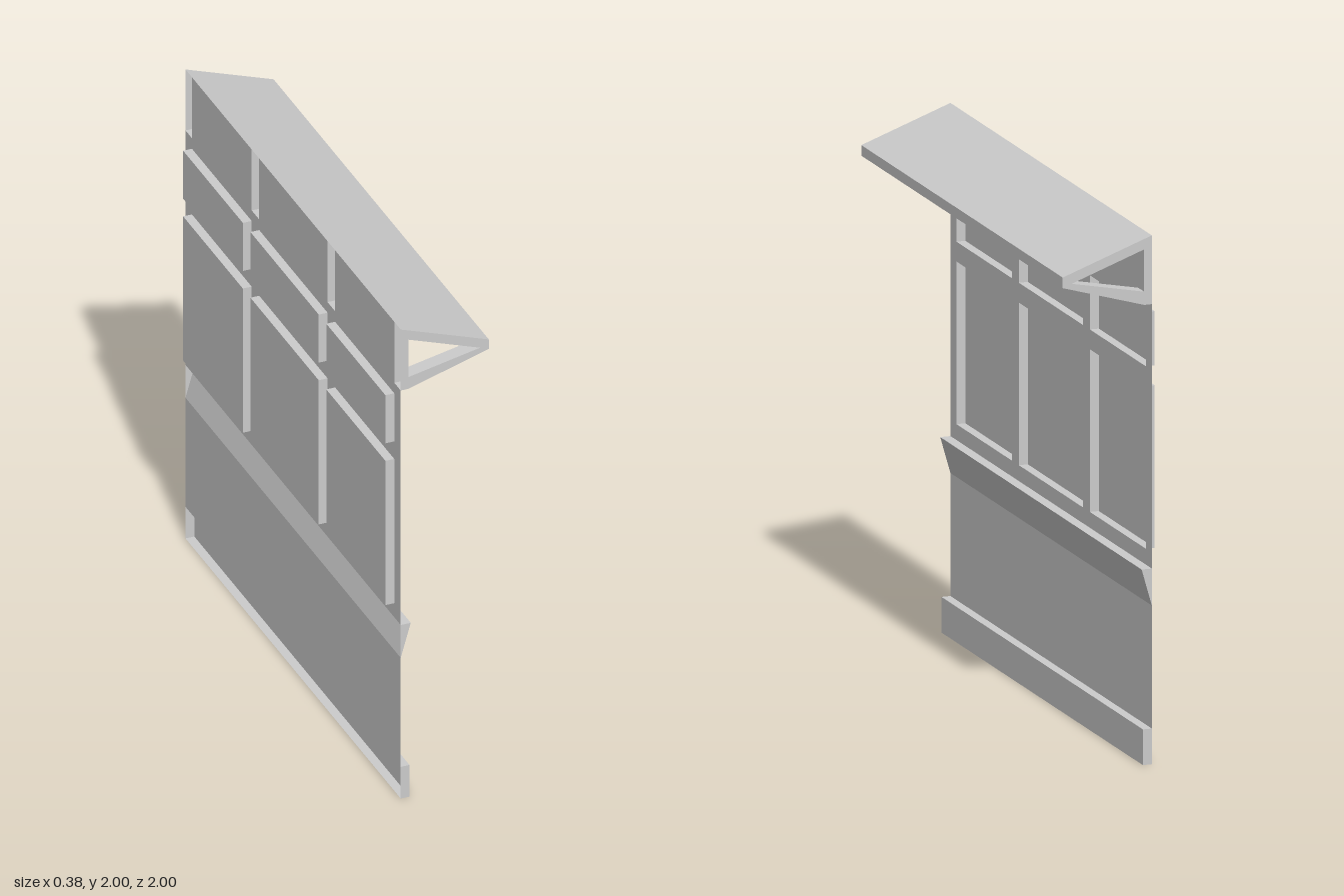
import * as THREE from 'three';
import { mergeGeometries } from 'three/addons/utils/BufferGeometryUtils.js';

const material = new THREE.MeshStandardMaterial({
  color: 0xcccccc, flatShading: true, side: THREE.DoubleSide,
});

const WALL = -0.16;    // x of the facade sheet
const PANE = -0.195;   // x of the recessed panes
const SILL = 0.74, TOP = 2;
const bays = [[-0.94, -0.385], [-0.315, 0.32], [0.39, 0.94]];               // z spans
const ribs = [[-1, -0.94], [-0.385, -0.315], [0.32, 0.39], [0.94, 1]];
const rows = [[0.8, 1.415], [1.49, 1.695]];                                 // y spans

const vectors = (points) => points.map(([x, y]) => new THREE.Vector2(x, y));

// Sweeps an XY path from z0 to z1; the outside lies to the right of the path.
function ribbon(points, z0, z1) {
  const pos = [];
  for (let i = 0; i + 1 < points.length; i++) {
    const [ax, ay] = points[i], [bx, by] = points[i + 1];
    pos.push(ax, ay, z0, bx, by, z0, bx, by, z1);
    pos.push(ax, ay, z0, bx, by, z1, ax, ay, z1);
  }
  const geometry = new THREE.BufferGeometry();
  geometry.setAttribute('position', new THREE.Float32BufferAttribute(pos, 3));
  geometry.computeVertexNormals();
  return geometry;
}

// Flat face at height z, facing +z or -z.
function face(points, z, holes = [], flip = false) {
  const shape = new THREE.Shape(vectors(points));
  shape.holes = holes.map((h) => new THREE.Path(vectors(h)));
  const geometry = new THREE.ShapeGeometry(shape).toNonIndexed();
  geometry.deleteAttribute('uv');
  if (flip) {
    const p = geometry.attributes.position;
    for (let i = 0; i < p.count; i += 3) {
      const x = p.getX(i), y = p.getY(i);
      p.setXY(i, p.getX(i + 1), p.getY(i + 1));
      p.setXY(i + 1, x, y);
    }
    geometry.computeVertexNormals();
  }
  return geometry.translate(0, 0, z);
}

const ends = (points, z0, z1, holes = []) =>
  [face(points, z0, holes, true), face(points, z1, holes)];

// Closed clockwise rectangle in (-z, y), for openings in the facade.
const opening = ([z0, z1], [y0, y1]) =>
  [[-z1, y0], [-z1, y1], [-z0, y1], [-z0, y0], [-z1, y0]];

export function createModel() {
  const model = new THREE.Group();
  const add = (name, parts) => {
    const mesh = new THREE.Mesh(mergeGeometries(parts), material);
    mesh.name = name;
    model.add(mesh);
    return mesh;
  };

  // Upper wall, with window openings and slots behind the awning brackets
  const outline = [[-1, SILL], [1, SILL]];
  for (const [z0, z1] of ribs) {
    outline.push([-z0, TOP], [-z0, 1.74], [-z1, 1.74], [-z1, TOP]);
  }
  // The outer slots open to the wall ends, so drop their doubled corners
  outline.splice(2, 1);
  outline.pop();
  outline.pop();
  outline.push([-1, 1.74]);
  const windows = rows.flatMap((row) => bays.map((bay) => opening(bay, row)));
  add('upperWall', [face(outline, WALL, windows)]).rotation.y = Math.PI / 2;

  // Recessed windows: reveals and pane
  for (const loop of windows) {
    const pane = loop.slice(0, 4).reverse();
    add('window', [ribbon(loop, PANE, WALL), face(pane, PANE)]).rotation.y = Math.PI / 2;
  }

  // Lower wall
  add('lowerWall', [ribbon([[WALL, 0.135], [WALL, 0.6]], -1, 1)]);

  // Wedge-shaped sill and base board, both open at the back
  const sill = [[WALL, 0.6], [-0.12, SILL], [WALL, SILL]];
  add('sill', [ribbon(sill, -1, 1), ...ends(sill, -1, 1)]);
  const base = [[WALL, 0], [-0.125, 0], [-0.125, 0.135], [WALL, 0.135]];
  add('baseBoard', [ribbon(base, -1, 1), ...ends(base, -1, 1)]);

  // Awning: top and fascia over the full length, underside between brackets
  const roof = [[0.19, 1.835], [0.19, 1.875], [WALL, TOP]];
  const soffit = [[WALL, 1.96], [0.19, 1.835]];
  const gaps = [0, 1, 2].map((i) => [ribs[i][1], ribs[i + 1][0]]);
  add('awning', [ribbon(roof, -1, 1), ...gaps.map(([z0, z1]) => ribbon(soffit, z0, z1))]);

  // Hollow triangular brackets, open at the back
  const lower = [[WALL, 1.74], [-0.13, 1.74], [0.19, 1.835]];
  const hole = [[-0.13, 1.79], [-0.13, 1.95], [0.155, 1.848], [-0.13, 1.79]];
  for (const [z0, z1] of ribs) {
    add('awningBracket', [
      ribbon(lower, z0, z1),
      ribbon(hole, z0, z1),
      ...ends([...lower, ...roof.slice(1)], z0, z1, [hole.slice(0, 3)]),
    ]);
  }
  return model;
}
